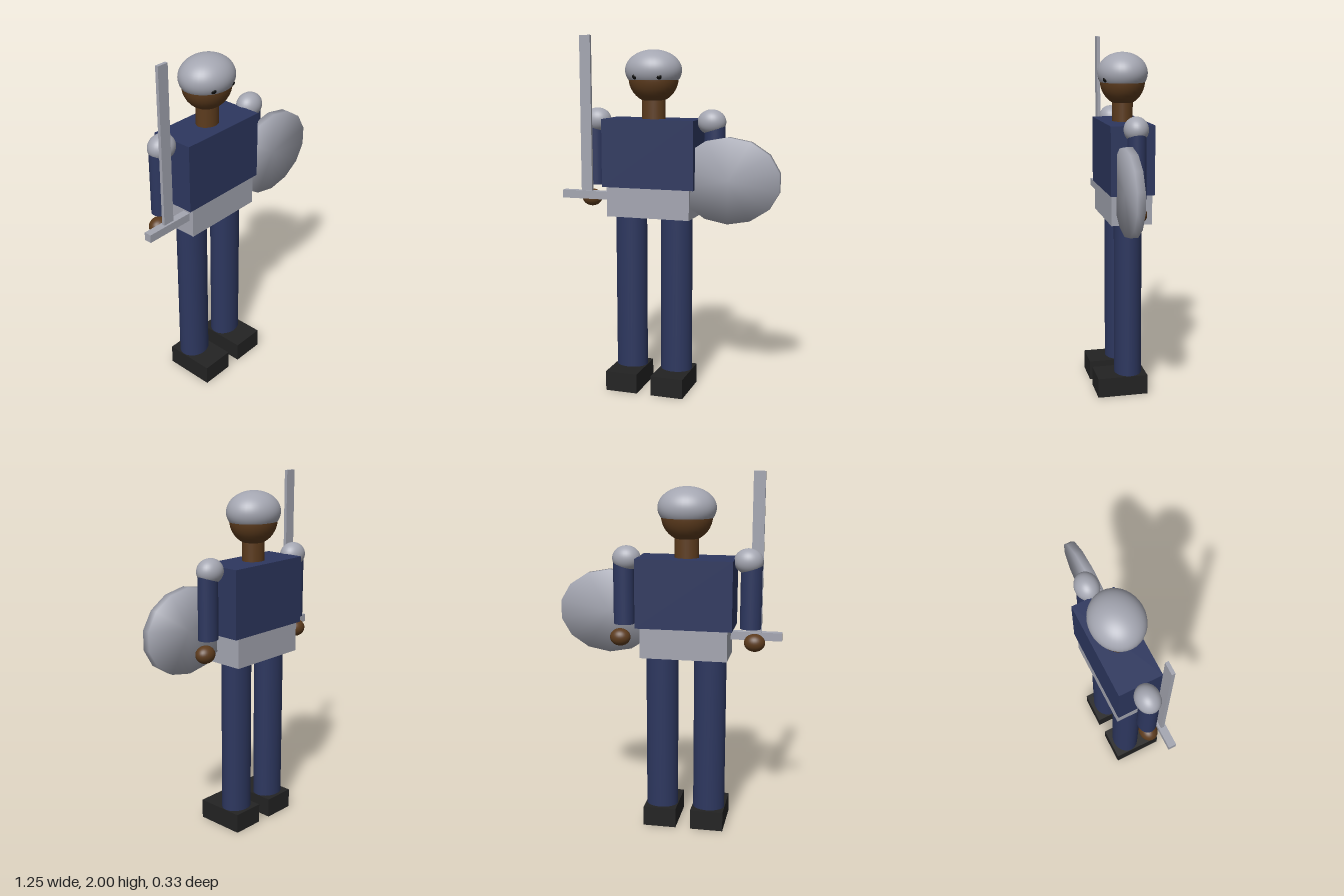
import * as THREE from 'three';

function mat(name, color) {
  const m = new THREE.MeshStandardMaterial({ color });
  m.name = name;
  return m;
}

export function createModel() {
  const navy = mat('navy cloth', 0x2d375f);
  const steel = mat('steel', 0xa4a6b1);
  const skin = mat('brown skin', 0x5c3b1d);
  const boot = mat('black leather', 0x232323);
  const dark = mat('dark eye', 0x101010);

  const model = new THREE.Group();
  model.name = 'guard';
  const body = new THREE.Group();
  body.name = 'body';
  body.position.set(-0.105, 0, -0.026); // body axis, offset by the shield's reach
  model.add(body);

  function add(parent, name, geometry, material, x, y, z) {
    const mesh = new THREE.Mesh(geometry, material);
    mesh.name = name;
    mesh.position.set(x, y, z);
    parent.add(mesh);
    return mesh;
  }
  const box = (w, h, d) => new THREE.BoxGeometry(w, h, d);
  const ball = (rx, ry, rz) => new THREE.SphereGeometry(1, 32, 20).scale(rx, ry, rz);
  const tube = (rx, h, rz) => new THREE.CylinderGeometry(1, 1, h, 28).scale(rx, 1, rz);

  // Trunk
  add(body, 'torso', box(0.53, 0.378, 0.243), navy, 0, 1.354, 0);
  add(body, 'hips', box(0.48, 0.167, 0.227), steel, 0, 1.082, 0);
  add(body, 'neck', tube(0.066, 0.16, 0.057), skin, 0, 1.6, 0);

  // Head with an open-bottomed helmet
  add(body, 'head', ball(0.14, 0.137, 0.125), skin, 0, 1.767, 0);
  const cap = new THREE.SphereGeometry(1, 36, 20, 0, Math.PI * 2, 0, Math.PI * 0.65);
  const helmetSteel = mat('helmet steel', 0xa4a6b1);
  helmetSteel.side = THREE.DoubleSide;
  add(body, 'helmet', cap.scale(0.159, 0.113, 0.139), helmetSteel, 0, 1.808, 0);

  // Paired limbs
  for (const [side, s] of [['left', 1], ['right', -1]]) {
    add(body, side + 'Eye', ball(0.017, 0.017, 0.017), dark, s * 0.068, 1.776, 0.106);
    add(body, side + 'Shoulder', ball(0.079, 0.069, 0.066), steel, s * 0.335, 1.531, 0);
    add(body, side + 'Arm', tube(0.058, 0.35, 0.05), navy, s * 0.352, 1.34, 0);
    add(body, side + 'Hand', ball(0.058, 0.049, 0.049), skin, s * 0.376, 1.086, 0);
    add(body, side + 'Leg', tube(0.09, 0.9, 0.077), navy, s * 0.135, 0.555, 0);
    add(body, side + 'Boot', box(0.186, 0.112, 0.285), boot, s * 0.135, 0.056, 0.046);
  }

  // Sword in the right hand
  const sword = new THREE.Group();
  sword.name = 'sword';
  sword.position.set(-0.482, 0, 0.041);
  model.add(sword);
  add(sword, 'blade', box(0.064, 0.87, 0.018), steel, 0, 1.565, 0);
  add(sword, 'crossguard', box(0.288, 0.045, 0.042), steel, 0, 1.111, 0);

  // Oval shield: a thin disc whose normals fan outward for a domed look
  const disc = new THREE.CylinderGeometry(1, 1, 2, 14).rotateX(Math.PI / 2).rotateZ(Math.PI);
  const p = disc.attributes.position;
  const n = new THREE.Vector3();
  for (let i = 0; i < p.count; i++) {
    n.fromBufferAttribute(p, i).normalize();
    disc.attributes.normal.setXYZ(i, n.x, n.y, n.z);
  }
  const shield = add(model, 'shield', disc, steel, 0.343, 1.222, 0.04);
  shield.scale.set(0.288, 0.235, 0.021);
  // keep the fanned normals free of the strong flattening
  for (let i = 0; i < p.count; i++) {
    n.fromBufferAttribute(disc.attributes.normal, i);
    n.multiply(shield.scale).normalize();
    disc.attributes.normal.setXYZ(i, n.x, n.y, n.z);
  }
  return model;
}
